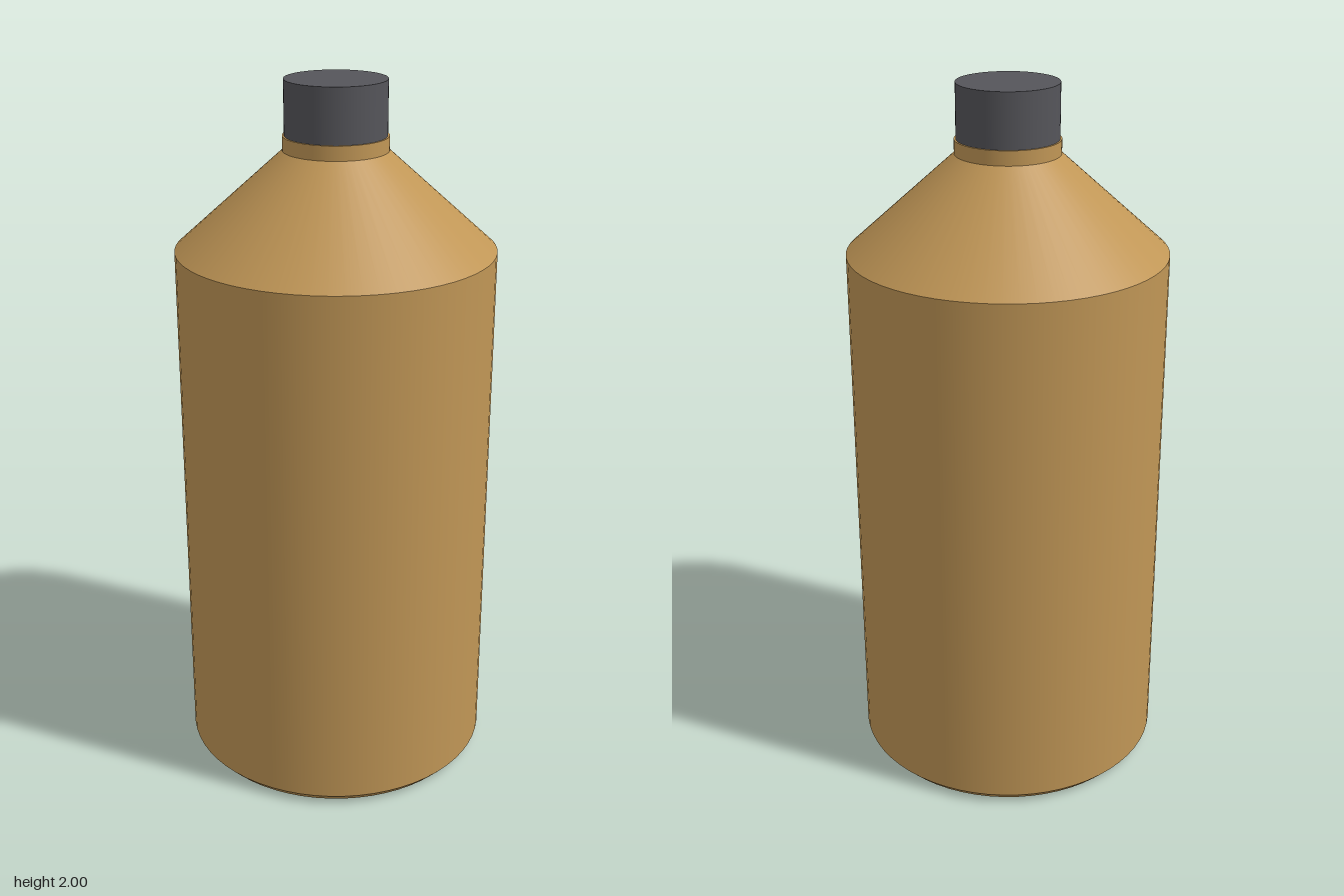
import * as THREE from 'three';
import { mergeGeometries } from 'three/addons/utils/BufferGeometryUtils.js';

// Turned solid: smooth around the axis, sharp at every profile corner
function turned(name, profile, material) {
  const bands = [];
  for (let i = 0; i < profile.length - 1; i++) {
    const ends = [profile[i], profile[i + 1]].map(([r, y]) => new THREE.Vector2(r, y));
    bands.push(new THREE.LatheGeometry(ends, 64));
  }
  const mesh = new THREE.Mesh(mergeGeometries(bands), material);
  mesh.name = name;
  return mesh;
}

export function createModel() {
  const amber = new THREE.MeshStandardMaterial({ name: 'amber plastic', color: 0xc09656 });
  const grey = new THREE.MeshStandardMaterial({ name: 'dark grey plastic', color: 0x55555a });

  const bottle = new THREE.Group();
  bottle.name = 'bottle';

  // Base, bevelled foot and straight wall
  bottle.add(turned('body', [[0, 0], [0.42, 0], [0.445, 0.027], [0.445, 1.54]], amber));
  // Conical shoulder
  bottle.add(turned('shoulder', [[0.445, 1.54], [0.145, 1.81]], amber));
  // Short neck with a flat rim
  bottle.add(turned('neck', [[0.145, 1.81], [0.145, 1.85], [0, 1.85]], amber));
  // Screw cap
  bottle.add(turned('cap', [[0.14, 1.85], [0.14, 2], [0, 2]], grey));

  return bottle;
}
